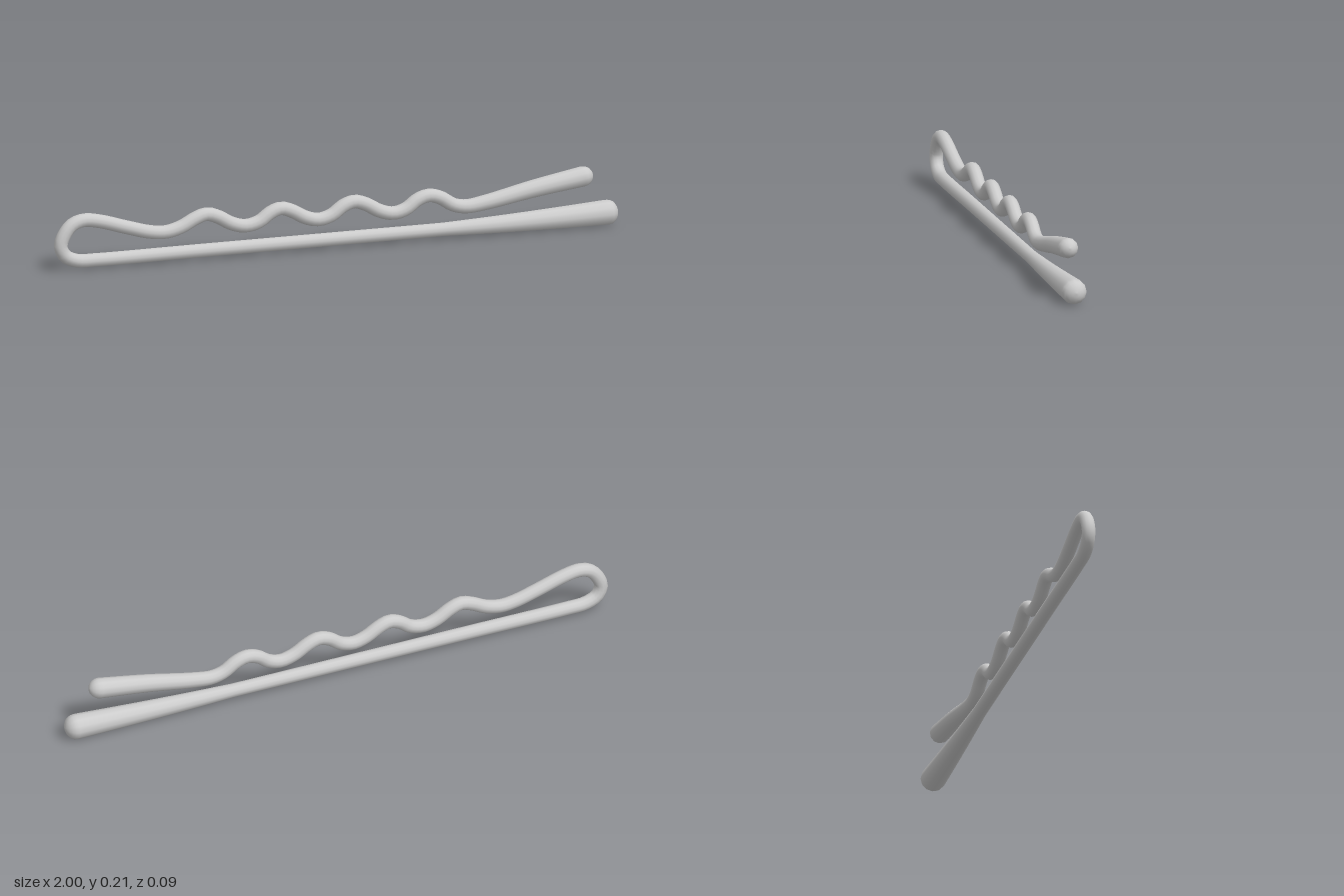
import * as THREE from 'three';

const SIDES = 12, STEPS = 240, CAP_RINGS = 5;

// Centre line of the bent wire: lower arm, end loop, wavy upper arm
const PATH = [
  [0.963, 0.045], [0.8, 0.04], [0.55, 0.035], [0, 0.033], [-0.5, 0.032], [-0.85, 0.031],
  [-0.92, 0.034], [-0.962, 0.054], [-0.977, 0.09], [-0.962, 0.13], [-0.935, 0.16],
  [-0.895, 0.172], [-0.84, 0.164], [-0.74, 0.134], [-0.66, 0.112],
  [-0.605, 0.107], [-0.55, 0.12], [-0.5, 0.145], [-0.46, 0.157], [-0.42, 0.145], [-0.37, 0.117],
  [-0.32, 0.105], [-0.27, 0.117], [-0.235, 0.142], [-0.195, 0.155], [-0.155, 0.142], [-0.11, 0.117],
  [-0.063, 0.105], [-0.015, 0.117], [0.025, 0.145], [0.065, 0.157], [0.105, 0.145], [0.155, 0.117],
  [0.205, 0.105], [0.25, 0.117], [0.29, 0.145], [0.33, 0.156], [0.37, 0.145], [0.415, 0.117],
  [0.46, 0.107], [0.53, 0.115], [0.7, 0.148], [0.875, 0.176],
];

// Wire thickens towards both tips
function radiusAt(x, lower) {
  const t = lower
    ? THREE.MathUtils.clamp((x - 0.38) / 0.57, 0, 1)
    : THREE.MathUtils.clamp((x - 0.42) / 0.45, 0, 1);
  return 0.0235 + t * (lower ? 0.0195 : 0.0115);
}

// Sweeps a round section along the planar path, with domed ends
function sweepWire(curve) {
  const rings = [];
  for (let i = 0; i <= STEPS; i++) {
    const u = i / STEPS;
    const p = curve.getPointAt(u);
    rings.push({ p, t: curve.getTangentAt(u), r: radiusAt(p.x, u < 0.5) });
  }
  const dome = (end, dir) => {
    const out = [];
    for (let k = 1; k <= CAP_RINGS; k++) {
      const a = (k / CAP_RINGS) * Math.PI / 2;
      out.push({
        p: end.p.clone().addScaledVector(end.t, dir * 0.036 * Math.sin(a)),
        t: end.t,
        r: Math.max(end.r * Math.cos(a), 1e-4),
      });
    }
    return out;
  };
  const all = [...dome(rings[0], -1).reverse(), ...rings, ...dome(rings[STEPS], 1)];

  const positions = [], index = [];
  all.forEach(({ p, t, r }, i) => {
    for (let j = 0; j < SIDES; j++) {
      const a = (j / SIDES) * Math.PI * 2;
      const n = r * Math.cos(a);
      positions.push(p.x - t.y * n, p.y + t.x * n, r * Math.sin(a));
      if (i === all.length - 1) continue;
      const j2 = (j + 1) % SIDES;
      const A = i * SIDES + j, B = i * SIDES + j2;
      index.push(A, B, A + SIDES, B, B + SIDES, A + SIDES);
    }
  });
  const geo = new THREE.BufferGeometry();
  geo.setAttribute('position', new THREE.Float32BufferAttribute(positions, 3));
  geo.setIndex(index);
  geo.computeVertexNormals();
  return geo;
}

export function createModel() {
  const group = new THREE.Group();
  group.name = 'hairPin';
  const curve = new THREE.CatmullRomCurve3(PATH.map(([x, y]) => new THREE.Vector3(x, y, 0)));
  curve.arcLengthDivisions = 1500;
  const wire = new THREE.Mesh(sweepWire(curve), new THREE.MeshStandardMaterial({ color: 0xcccccc }));
  wire.name = 'bentWire';
  group.add(wire);
  return group;
}
